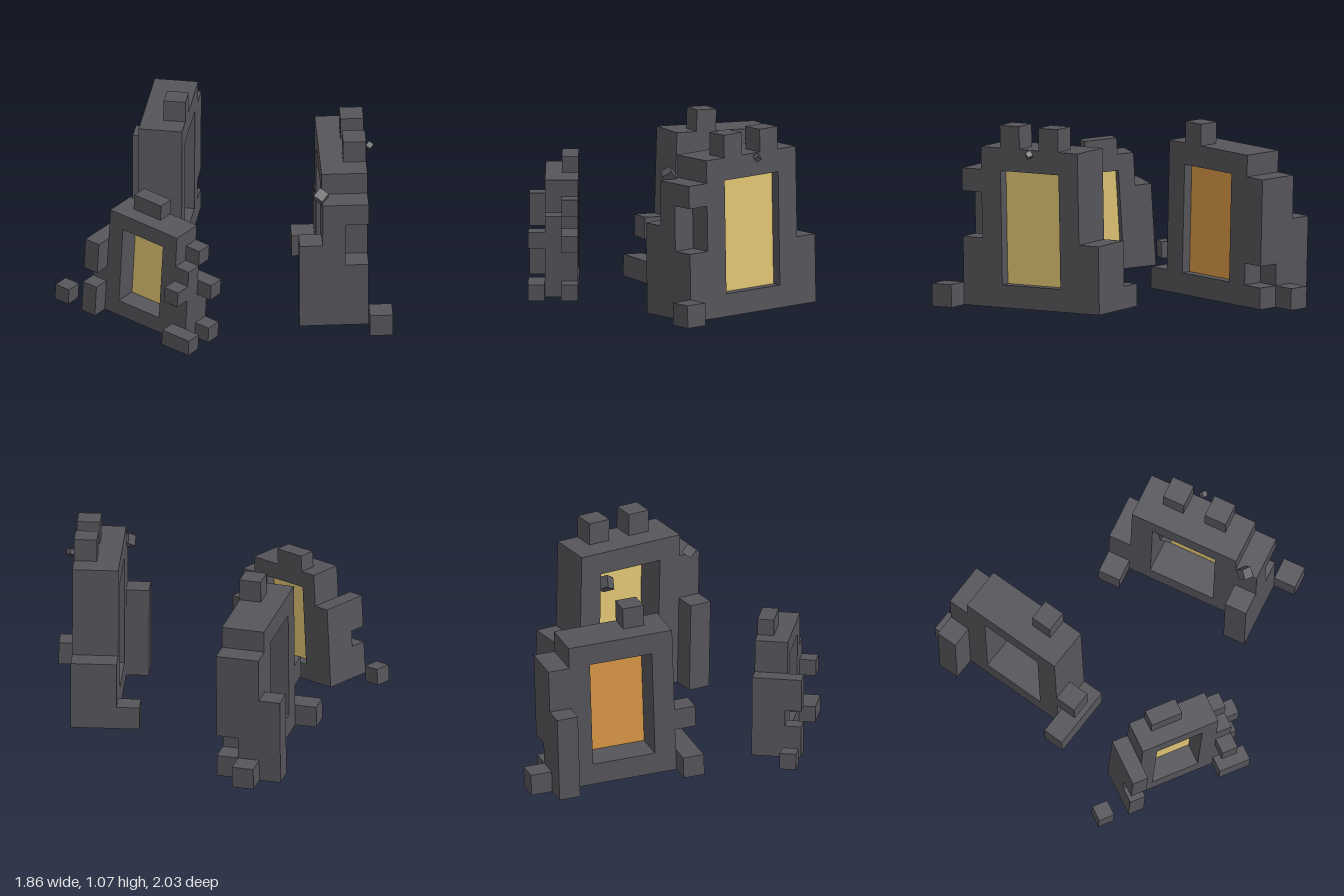
import * as THREE from 'three';

export function createModel() {
  const stone = new THREE.MeshStandardMaterial({ color: 0x55555a });
  stone.name = 'dark stone';
  const amber = new THREE.MeshStandardMaterial({ color: 0xdb9846 });
  amber.name = 'amber glass';
  const yellow = new THREE.MeshStandardMaterial({ color: 0xe2c674 });
  yellow.name = 'yellow glass';

  const model = new THREE.Group();
  model.name = 'ruinedWindowWalls';

  function add(parent, name, geometry, material, x, y, z) {
    const mesh = new THREE.Mesh(geometry, material);
    mesh.name = name;
    mesh.position.set(x, y, z);
    parent.add(mesh);
    return mesh;
  }

  // Wall frame, five blocks wide and seven high, with a three by five opening
  function frameGeometry(s) {
    const rect = (Type, x0, y0, x1, y1) => {
      const p = new Type();
      p.moveTo(x0 * s, y0 * s);
      p.lineTo(x1 * s, y0 * s);
      p.lineTo(x1 * s, y1 * s);
      p.lineTo(x0 * s, y1 * s);
      p.closePath();
      return p;
    };
    const shape = rect(THREE.Shape, 1, 0, 6, 7);
    shape.holes.push(rect(THREE.Path, 2, 1, 5, 6));
    return new THREE.ExtrudeGeometry(shape, { depth: 2 * s, bevelEnabled: false });
  }

  // One ruin: s is the block size; each block is
  // [column, layer from the front, row, columns, layers, rows]
  function ruin({ name, s, pos, turn, tilt, glass, blocks }) {
    const group = new THREE.Group();
    group.name = name;
    group.position.set(...pos);
    group.rotation.set(0, turn, tilt, 'YXZ');
    add(group, 'windowFrame', frameGeometry(s), stone, 0, 0, -2 * s);
    add(group, 'windowPane', new THREE.BoxGeometry(3 * s, 5 * s, 0.006), glass,
      3.5 * s, 3.5 * s, -0.06);
    for (const [c, l, r, nc = 1, nl = 1, nr = 1] of blocks) {
      add(group, 'brokenBlock', new THREE.BoxGeometry(nc * s, nr * s, nl * s), stone,
        (c + nc / 2) * s, (r + nr / 2) * s, -(l + nl / 2) * s);
    }
    model.add(group);
    return group;
  }

  ruin({
    name: 'backRuin', s: 0.123, pos: [-0.157, 0.03, -0.053], turn: 1.01, tilt: -0.03, glass: amber,
    blocks: [
      [0, 0, 0, 1, 3, 1],   // footing
      [0, 1, 2],            // stub on the near edge
      [6, 0, 0, 1, 2, 1],   // far edge, with a bite out of the front
      [6, 1, 1],
      [6, 0, 2, 1, 2, 4],
      [6, 2, 0, 1, 1, 4],   // buttress
      [7, 1, 0],
      [2, 0, 7],            // crown block
    ],
  });

  const left = ruin({
    name: 'leftRuin', s: 0.129, pos: [0.613, 0.025, 0.843], turn: 1.216, tilt: 0.02, glass: yellow,
    blocks: [
      [0, 0, 0, 1, 2, 3],   // near edge, with a bite out of the front
      [0, 1, 3, 1, 1, 2],
      [0, 0, 5, 1, 2, 1],
      [0, 2, 0, 1, 1, 4],   // buttress
      [-1, -1, 0],          // fallen block
      [6, 0, 0, 1, 2, 3],   // far edge
      [6, 2, 0],
      [2, 0, 7],            // crown blocks
      [4, 0, 7],
    ],
  });

  ruin({
    name: 'rightRuin', s: 0.093, pos: [-0.274, 0.05, 0.58], turn: 2.089, tilt: 0.06, glass: yellow,
    blocks: [
      [0, 0, 0, 1, 2, 4],   // near edge
      [0, 1, 4],
      [0, 0, 5],
      [0, 2, 0],
      [0, 2, 3],
      [-1, 0, 0],
      [-1, 2, 0],
      [-1, 0, 3],
      [6, 0, 0, 1, 2, 5],   // far edge
      [6, 2, 0, 1, 1, 2],
      [6, 2, 3, 1, 1, 2],
      [8, 2, 0],            // fallen block
      [3, 0, 7, 2, 1, 1],   // crown block
    ],
  });

  // Loose chips of stone
  const chip = (parent, size, x, y, z) => {
    const mesh = add(parent, 'stoneChip', new THREE.BoxGeometry(size, size, size), stone, x, y, z);
    mesh.rotation.set(0.5, 0.6, 0.3);
  };
  chip(model, 0.06, 0.385, 0.82, 0.7);
  chip(model, 0.032, 0.8, 0.915, 0.43);
  chip(left, 0.07, 0.58, 0.68, -0.2);

  return model;
}
